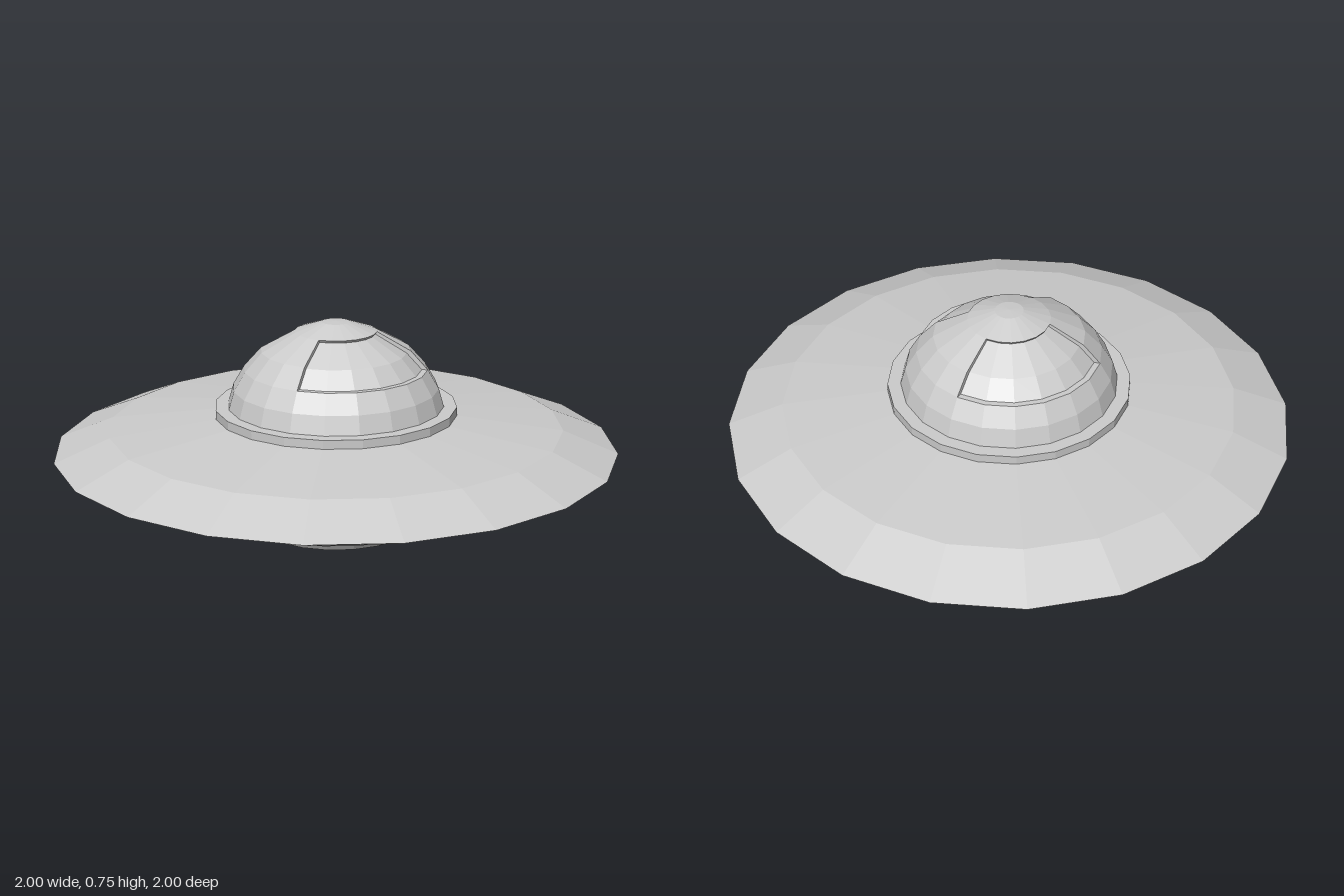
import * as THREE from 'three';

const SIDES = 20;
const STEP = (Math.PI * 2) / SIDES;

export function createModel() {
  const model = new THREE.Group();
  model.name = 'flyingSaucer';
  const grey = new THREE.MeshStandardMaterial({ color: 0xcccccc, flatShading: true });
  const greyThin = new THREE.MeshStandardMaterial({
    color: 0xcccccc, flatShading: true, side: THREE.DoubleSide,
  });
  const toPoints = (list) => list.map(([x, y]) => new THREE.Vector2(x, y));

  // Turned part, profile listed from bottom to top; start and count are in facets
  function turned(name, profile, start = 0, count = SIDES) {
    const geometry = new THREE.LatheGeometry(toPoints(profile), count, start * STEP, count * STEP);
    const mesh = new THREE.Mesh(geometry, grey);
    mesh.name = name;
    model.add(mesh);
  }

  // Core below the hull, flaring up into the recess of the skirt
  turned('bottomCore', [[0, 0], [0.29, 0], [0.355, 0.1]]);

  // Tapered skirt with a hollow underside
  turned('skirt', [[0.34, 0.1], [0.37, 0.1], [0.37, 0.06], [0.41, 0.06], [0.515, 0.183]]);

  // Wide disc of the hull
  turned('hull', [[0.5, 0.18], [0.52, 0.18], [0.86, 0.235], [1, 0.29], [0.805, 0.37], [0.42, 0.415], [0.3, 0.415]]);

  // Collar under the dome
  turned('collar', [[0.43, 0.41], [0.43, 0.445], [0.37, 0.445]]);

  // Dome: closed lower band, cap, and a band of alternating windows and panels
  turned('domeBase', [[0.385, 0.44], [0.365, 0.51], [0.325, 0.578]]);
  turned('domeCap', [[0.145, 0.712], [0.05, 0.745], [0, 0.748]]);
  const panel = [[0.325, 0.578], [0.265, 0.645], [0.145, 0.712]];
  const window = [[0.325, 0.578], [0.304, 0.578], [0.25, 0.637], [0.139, 0.703], [0.145, 0.712]];
  const jamb = new THREE.ShapeGeometry(new THREE.Shape(toPoints([...window, panel[1]])));

  for (const start of [0, 10]) {
    turned('domeWindow', window, start, 6);
    turned('domePanel', panel, start + 6, 4);
    // Upright edges of the recessed window
    for (const facet of [start, start + 6]) {
      const mesh = new THREE.Mesh(jamb, greyThin);
      mesh.name = 'windowJamb';
      mesh.rotation.y = facet * STEP - Math.PI / 2;
      model.add(mesh);
    }
  }
  return model;
}
